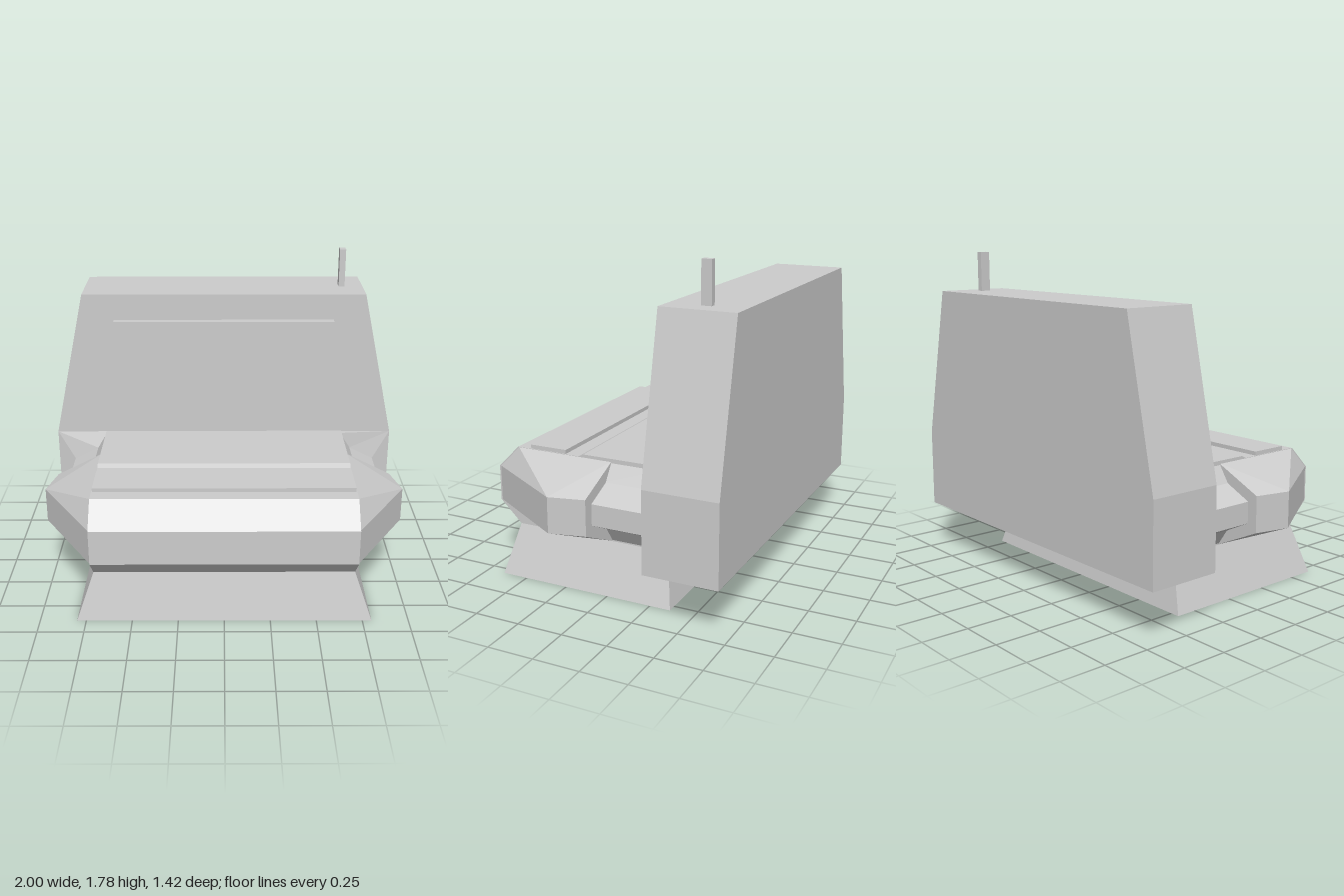
import * as THREE from 'three';
import { ConvexGeometry } from 'three/addons/geometries/ConvexGeometry.js';

const material = new THREE.MeshStandardMaterial({ color: 0xcccccc, flatShading: true });

const outline = (points) => new THREE.Shape(points.map(([x, y]) => new THREE.Vector2(x, y)));

// Extrude an (x, y) outline from z0 to z1.
function prismZ(points, z0, z1) {
  const g = new THREE.ExtrudeGeometry(outline(points), { depth: z1 - z0, bevelEnabled: false });
  return g.translate(0, 0, z0);
}

// Extrude a (z, y) outline across the width, centred on x = 0.
function prismX(points, halfWidth) {
  const g = new THREE.ExtrudeGeometry(outline(points), { depth: halfWidth * 2, bevelEnabled: false });
  return g.rotateY(-Math.PI / 2).translate(halfWidth, 0, 0);
}

function box(x0, x1, y0, y1, z0, z1) {
  const g = new THREE.BoxGeometry(x1 - x0, y1 - y0, z1 - z0);
  return g.translate((x0 + x1) / 2, (y0 + y1) / 2, (z0 + z1) / 2);
}

function hull(points) {
  return new ConvexGeometry(points.map((p) => new THREE.Vector3(...p)));
}

// Skin between a front and a back row of points.
function skin(front, back) {
  const pos = [];
  for (let i = 0; i < front.length - 1; i++) {
    const [a, b, c, d] = [front[i], front[i + 1], back[i + 1], back[i]];
    pos.push(...a, ...b, ...c, ...a, ...c, ...d);
  }
  const g = new THREE.BufferGeometry();
  g.setAttribute('position', new THREE.Float32BufferAttribute(pos, 3));
  g.computeVertexNormals();
  return g;
}

export function createModel() {
  const model = new THREE.Group();
  model.name = 'console';
  const add = (name, geometry) => {
    const mesh = new THREE.Mesh(geometry, material);
    mesh.name = name;
    model.add(mesh);
  };

  // Flared pedestal
  const base = [];
  for (const s of [-1, 1]) {
    base.push([s * 0.8, 0, 0.645], [s * 0.8, 0, -0.365], [s * 0.705, 0.27, 0.585], [s * 0.705, 0.27, -0.31]);
  }
  add('pedestal', hull(base));

  // Tall rear cabinet with tapered shoulders
  add('cabinet', prismZ([[-1, 0.27], [1, 0.27], [1, 0.71], [0.815, 1.56], [-0.815, 1.56], [-1, 0.71]], -0.715, -0.31));
  add('screen', box(-0.635, 0.635, 0.75, 1.41, -0.31, -0.265));
  add('antenna', box(0.675, 0.71, 1.56, 1.78, -0.54, -0.485));

  // Desk core, chamfered at the front, with its top plates
  add('desk', prismX([[-0.31, 0.27], [0.585, 0.27], [0.71, 0.39], [0.71, 0.585], [0.585, 0.71], [-0.31, 0.71]], 0.705));
  add('deskTop', prismX([[-0.31, 0.71], [0.21, 0.71], [0.18, 0.725], [-0.28, 0.725]], 0.705));
  add('controlStrip', box(-0.7, 0.7, 0.71, 0.732, 0.29, 0.505));

  // Side parts, mirrored
  const armProfile = [[0.7, 0.71], [0.76, 0.615], [0.9, 0.545], [0.9, 0.43], [0.76, 0.36], [0.7, 0.27]];
  const collarProfile = [[0.7, 0.71], [1, 0.71], [1, 0.71], [1, 0.27], [1, 0.27], [0.7, 0.27]];
  for (const s of [1, -1]) {
    const side = s > 0 ? 'left' : 'right';
    add(side + 'Wing', hull([
      [0.7, 0.585, 0.71], [0.7, 0.39, 0.71], [0.7, 0.71, 0.585],
      [1, 0.585, 0.22], [1, 0.39, 0.22], [0.955, 0.585, 0.025], [0.955, 0.39, 0.025],
      [0.7, 0.71, 0.015], [0.7, 0.27, 0.21], [0.7, 0.27, 0.015],
    ].map(([x, y, z]) => [s * x, y, z])));

    add(side + 'Arm', prismZ(armProfile.map(([x, y]) => [s * x, y]), -0.285, 0.03));

    // Shallow collar where the arm meets the cabinet
    const row = (profile, z) => {
      const points = profile.map(([x, y]) => [s * x, y, z]);
      return s > 0 ? points : points.reverse();
    };
    add(side + 'Collar', skin(row(armProfile, -0.28), row(collarProfile, -0.31)));
  }
  return model;
}
